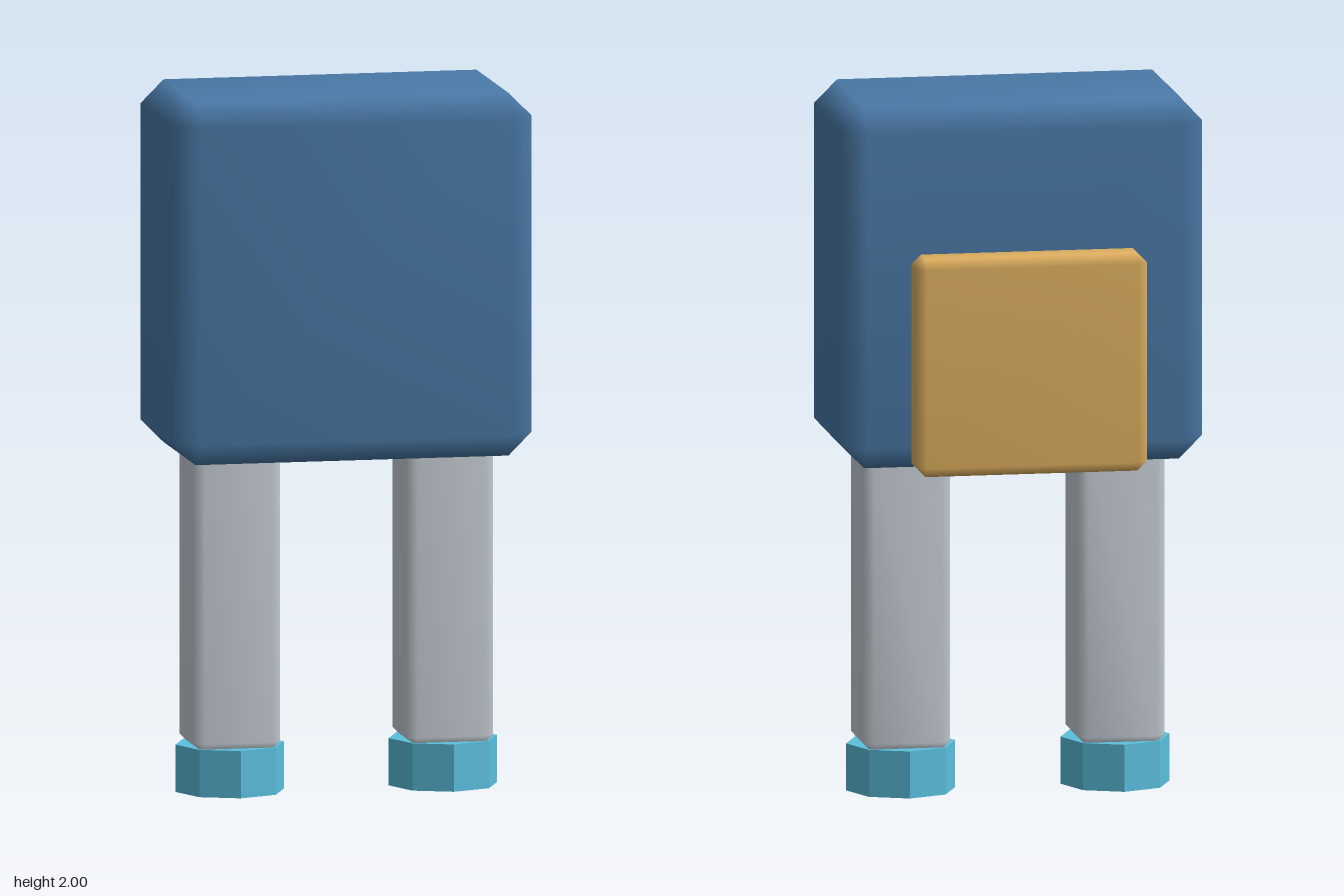
import * as THREE from 'three';
import { mergeVertices } from 'three/addons/utils/BufferGeometryUtils.js';
import { ConvexGeometry } from 'three/addons/geometries/ConvexGeometry.js';

const mat = (name, color, flatShading = false) => {
  const m = new THREE.MeshStandardMaterial({ color, flatShading });
  m.name = name;
  return m;
};

// Box with chamfered edges and area-weighted smooth normals
function chamferBox(w, h, d, c) {
  const pts = [];
  for (const x of [-1, 1]) for (const y of [-1, 1]) for (const z of [-1, 1]) {
    for (let axis = 0; axis < 3; axis++) {
      const inset = [c, c, c];
      inset[axis] = 0;
      pts.push(new THREE.Vector3(
        x * (w / 2 - inset[0]), y * (h / 2 - inset[1]), z * (d / 2 - inset[2])));
    }
  }
  const raw = new ConvexGeometry(pts);
  raw.deleteAttribute('normal');
  const geo = mergeVertices(raw, 1e-4);
  geo.computeVertexNormals();
  return geo;
}

export function createModel() {
  const model = new THREE.Group();
  model.name = 'blockFigure';
  const blue = mat('bodyBlue', 0x4a7aa8);
  const amber = mat('packAmber', 0xe0b060);
  const grey = mat('legGrey', 0xc8d0d8);
  const teal = mat('footTeal', 0x5bc0de, true);

  const add = (name, geo, material, x, y, z) => {
    const mesh = new THREE.Mesh(geo, material);
    mesh.name = name;
    mesh.position.set(x, y, z);
    model.add(mesh);
  };

  // Body and the pack on its back
  add('body', chamferBox(1.034, 1.035, 0.58, 0.066), blue, 0, 1.4825, 0.062);
  add('backpack', chamferBox(0.662, 0.625, 0.131, 0.028), amber, 0, 1.277, -0.288);

  // Legs reach a little into the body; feet are octagonal
  const legGeo = chamferBox(0.25, 0.91, 0.25, 0.027);
  const footGeo = new THREE.CylinderGeometry(0.156, 0.156, 0.135, 8);
  for (const [side, s] of [['left', 1], ['right', -1]]) {
    add(side + 'Leg', legGeo, grey, s * 0.307, 0.58, 0.065);
    add(side + 'Foot', footGeo, teal, s * 0.307, 0.0675, 0.065);
  }
  return model;
}
